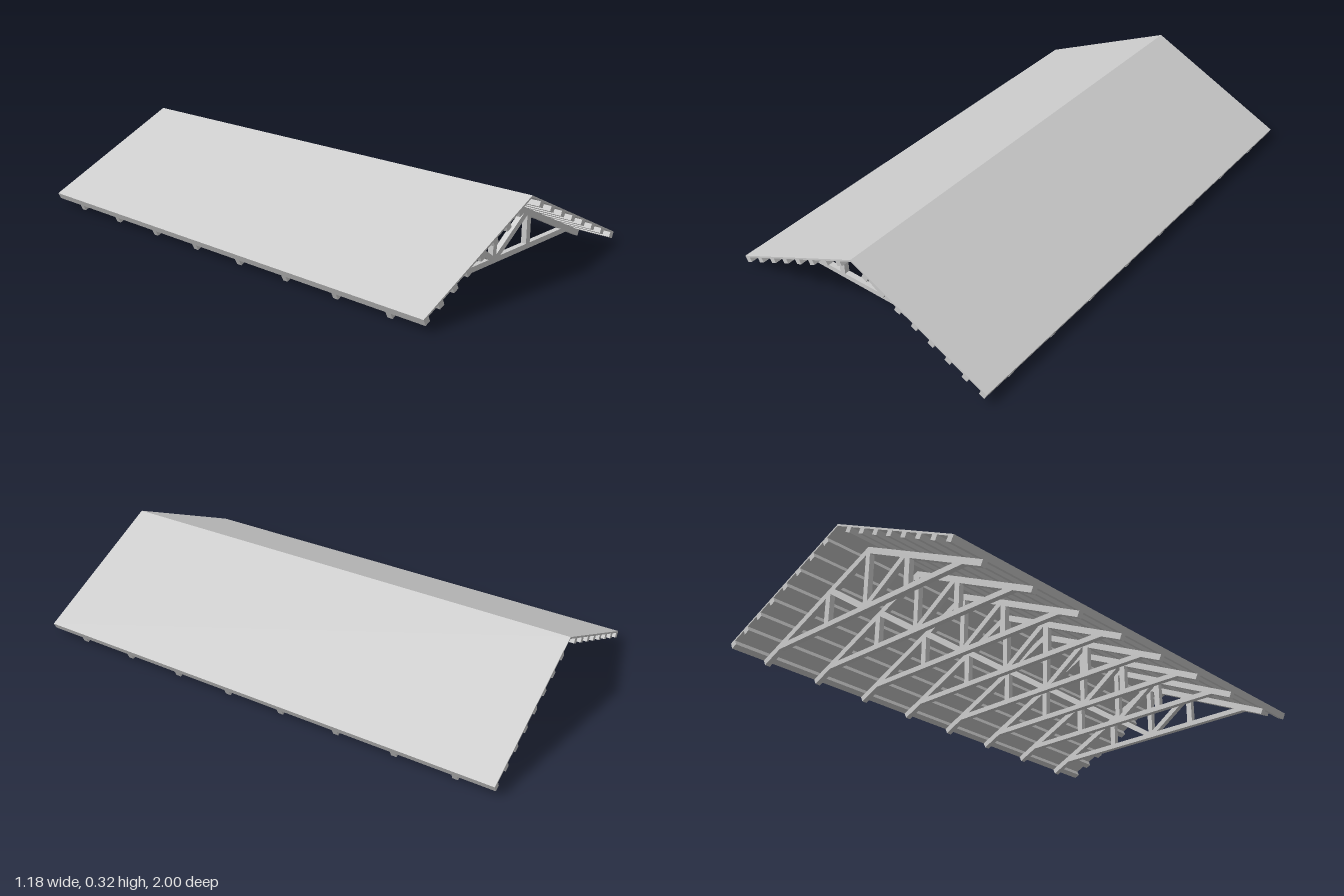
import * as THREE from 'three';

// Roof cross-section: slope distance s from the ridge, depth d below the roof surface
const RIDGE = 0.325, SLOPE = 0.654, ANGLE = Math.atan2(0.279, 0.592);
const SIN = Math.sin(ANGLE), COS = Math.cos(ANGLE), TAN = SIN / COS;
const SHEET = 0.007, PURLIN = 0.027, RAFTER = 0.051; // depth of each layer's underside
const at = (s, d) => [s * COS - d * SIN, RIDGE - s * SIN - d * COS];
const under = x => RIDGE - RAFTER / COS - Math.abs(x) * TAN; // rafter underside

const material = new THREE.MeshStandardMaterial({ color: 0xcccccc, flatShading: true });

// Extrude an outline along z, centred on z = 0
function prism(name, points, depth) {
  const shape = new THREE.Shape(points.map(([x, y]) => new THREE.Vector2(x, y)));
  const geometry = new THREE.ExtrudeGeometry(shape, { depth, bevelEnabled: false });
  geometry.translate(0, 0, -depth / 2);
  const mesh = new THREE.Mesh(geometry, material);
  mesh.name = name;
  return mesh;
}

const mirrored = points => points.map(([x, y]) => [-x, y]).reverse();

// Inverted V between two depths, mitred at the ridge
function chevron(d0, d1) {
  const [ox, oy] = at(SLOPE, d0), [ix, iy] = at(SLOPE, d1);
  return [[0, RIDGE - d0 / COS], [-ox, oy], [-ix, iy], [0, RIDGE - d1 / COS], [ix, iy], [ox, oy]];
}

function createTruss() {
  const truss = new THREE.Group();
  truss.name = 'truss';
  const thick = 0.022, low = 0.04, high = 0.061;
  const reach = y => (RIDGE - RAFTER / COS - y) / TAN;
  truss.add(prism('rafters', chevron(PURLIN, RAFTER), thick));
  truss.add(prism('bottomChord', [[-reach(low), low], [reach(low), low],
    [reach(high), high], [-reach(high), high]], thick));
  truss.add(prism('kingPost', [[-0.011, high], [0.011, high], [0.011, under(0.011)],
    [0, under(0)], [-0.011, under(0.011)]], thick));
  // Side posts and diagonal braces
  const post = [[0.201, high], [0.226, high], [0.226, under(0.226)], [0.201, under(0.201)]];
  const brace = [[0.011, high], [0.036, high], [0.201, under(0.201)], [0.177, under(0.177)], [0.011, 0.0705]];
  truss.add(prism('leftPost', post, thick), prism('rightPost', mirrored(post), thick));
  truss.add(prism('leftBrace', brace, thick), prism('rightBrace', mirrored(brace), thick));
  return truss;
}

export function createModel() {
  const roof = new THREE.Group();
  roof.name = 'roof';
  roof.add(prism('roofSheet', chevron(0, SHEET), 2));

  // Purlins, evenly spaced up from the eaves on both slopes
  for (let i = 0; i < 8; i++) {
    const s1 = SLOPE - i * 0.0807, s0 = s1 - 0.025;
    const section = [at(s0, SHEET), at(s0, PURLIN), at(s1, PURLIN), at(s1, SHEET)];
    roof.add(prism('leftPurlin', section, 2), prism('rightPurlin', mirrored(section), 2));
  }

  // Row of trusses
  const truss = createTruss();
  for (let i = 0; i < 8; i++) {
    const copy = truss.clone();
    copy.position.z = -0.845 + i * 0.2414;
    roof.add(copy);
  }
  return roof;
}
